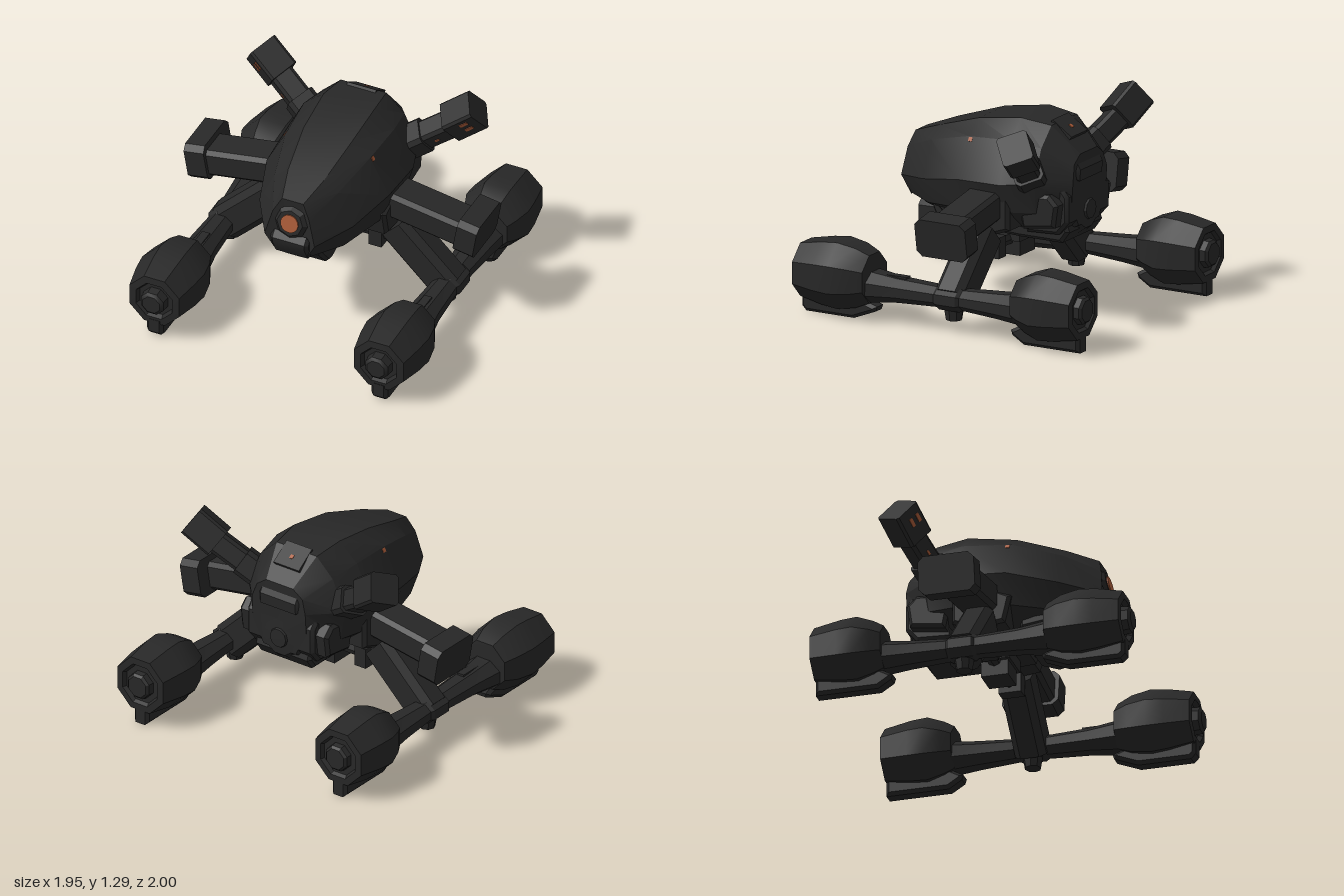
import * as THREE from 'three';
import { toCreasedNormals } from 'three/addons/utils/BufferGeometryUtils.js';

const darkMetal = new THREE.MeshStandardMaterial({ color: 0x282828 });
darkMetal.name = 'dark metal';
const orangeLight = new THREE.MeshStandardMaterial({ color: 0xac5c39 });
orangeLight.name = 'orange light';

const V = (x, y, z) => new THREE.Vector3(x, y, z);

function part(parent, name, geometry, material = darkMetal, crease = 0.5) {
  const mesh = new THREE.Mesh(toCreasedNormals(geometry, crease), material);
  mesh.name = name;
  parent.add(mesh);
  return mesh;
}

// Closed skin through rings of equal length, ordered from back to front
function loft(rings) {
  const n = rings[0].length, index = [];
  for (let i = 0; i < rings.length - 1; i++) {
    for (let j = 0; j < n; j++) {
      const a = i * n + j, b = i * n + (j + 1) % n;
      index.push(a, b, b + n, a, b + n, a + n);
    }
  }
  const last = (rings.length - 1) * n;
  for (let j = 1; j < n - 1; j++) {
    index.push(0, j + 1, j, last, last + j, last + j + 1);
  }
  const g = new THREE.BufferGeometry();
  g.setAttribute('position', new THREE.Float32BufferAttribute(rings.flat(2), 3));
  g.setIndex(index);
  return g;
}

// Bar with chamfered edges between two points; local z runs along the bar
function bar(parent, name, from, to, width, height, chamfer = 0.025, roll = 0) {
  const w = width / 2, h = height / 2, c = chamfer;
  const shape = new THREE.Shape([
    [w, c - h], [w, h - c], [w - c, h], [c - w, h],
    [-w, h - c], [-w, c - h], [c - w, -h], [w - c, -h],
  ].map(([x, y]) => new THREE.Vector2(x, y)));
  const dir = to.clone().sub(from), length = dir.length();
  dir.normalize();
  const g = new THREE.ExtrudeGeometry(shape, { depth: length, bevelEnabled: false });
  const mesh = part(parent, name, g);
  const side = V(0, 1, 0).cross(dir).normalize();
  mesh.quaternion.setFromRotationMatrix(
    new THREE.Matrix4().makeBasis(side, dir.clone().cross(side), dir));
  mesh.rotateZ(roll);
  mesh.position.copy(from);
  return mesh;
}

// Plate with a side profile of [z, y] points and a thickness along x
function slab(parent, name, profile, width, x = 0) {
  const shape = new THREE.Shape(profile.map(([z, y]) => new THREE.Vector2(z, y)));
  const b = 0.02;
  const g = new THREE.ExtrudeGeometry(shape, {
    depth: width - 2 * b, bevelSize: b, bevelThickness: b, bevelOffset: -b, bevelSegments: 1,
  });
  g.translate(0, 0, b - width / 2).rotateY(-Math.PI / 2).translate(x, 0, 0);
  return part(parent, name, g);
}

// Turned part along z from [radius, z] points given back to front
function turned(parent, name, profile, sides, x, y, squash = 1) {
  const points = profile.map(([r, z]) => new THREE.Vector2(r, z));
  const g = new THREE.LatheGeometry(points, sides, Math.PI / sides);
  g.rotateX(Math.PI / 2).scale(1, squash, 1).translate(x, y, 0);
  return part(parent, name, g);
}

function box(parent, name, w, h, d, x, y, z, material = darkMetal) {
  const mesh = part(parent, name, new THREE.BoxGeometry(w, h, d), material);
  mesh.position.set(x, y, z);
  return mesh;
}

function buildBody(model) {
  // Half sections from bottom to top: z, then [x, y, z offset]
  const sections = [
    [-0.57, [0.12, 0.58], [0.2, 0.74], [0.2, 0.88, -0.01], [0.17, 0.97], [0.1, 1.02]],
    [-0.4, [0.15, 0.5], [0.33, 0.68], [0.36, 0.87], [0.27, 1.07], [0.15, 1.185]],
    [-0.2, [0.15, 0.5], [0.37, 0.67], [0.425, 0.85], [0.3, 1.1], [0.17, 1.21]],
    [0.1, [0.15, 0.52], [0.36, 0.65], [0.405, 0.84], [0.28, 1.08], [0.16, 1.165]],
    [0.4, [0.1, 0.56], [0.25, 0.62], [0.31, 0.78], [0.21, 1.0], [0.12, 1.07]],
    [0.6, [0.05, 0.6, -0.01], [0.1, 0.62, 0.01], [0.165, 0.74, 0.035], [0.12, 0.91, 0.015], [0.07, 1.0, -0.01]],
  ];
  const rings = sections.map(([z, ...pts]) => [
    ...pts.map(([x, y, dz = 0]) => [x, y, z + dz]),
    ...pts.map(([x, y, dz = 0]) => [-x, y, z + dz]).reverse(),
  ]);
  part(model, 'bodyShell', loft(rings), darkMetal, 0.42);

  // Eye on the slanted nose
  const tilt = Math.PI / 2 - 0.2;
  const socket = part(model, 'eyeSocket', new THREE.CylinderGeometry(0.085, 0.11, 0.025, 8));
  socket.position.set(0, 0.86, 0.62);
  socket.rotation.x = tilt;
  const eye = part(model, 'eye', new THREE.CylinderGeometry(0.058, 0.058, 0.009, 16), orangeLight);
  eye.position.set(0, 0.863, 0.636);
  eye.rotation.x = tilt;
  slab(model, 'noseLip', [[0.62, 0.78], [0.655, 0.74], [0.65, 0.7], [0.6, 0.61], [0.55, 0.7]], 0.25);

  // Chin, belly and the machinery under the shell
  slab(model, 'chin', [[0.46, 0.58], [0.43, 0.51], [0.34, 0.41], [0.29, 0.4], [0.18, 0.44], [0.08, 0.6]], 0.24);
  slab(model, 'mouthGuard', [[0.6, 0.62], [0.52, 0.56], [0.3, 0.5], [0.2, 0.62]], 0.17);
  slab(model, 'belly', [[0.16, 0.66], [0.12, 0.5], [-0.2, 0.48], [-0.5, 0.48], [-0.55, 0.55], [-0.5, 0.7]], 0.42);
  slab(model, 'rearHousing', [[-0.25, 0.8], [-0.53, 0.83], [-0.57, 0.78], [-0.57, 0.62], [-0.5, 0.54], [-0.28, 0.53]], 0.5);
  turned(model, 'rearDome', [[0, -0.592], [0.06, -0.588], [0.065, -0.575], [0.12, -0.57], [0.16, -0.52], [0.17, -0.42]], 10, 0, 0.66);
  slab(model, 'rearPanel', [[-0.45, 1.0], [-0.56, 0.98], [-0.59, 0.93], [-0.585, 0.86], [-0.5, 0.85]], 0.3);

  // Top hatch with its small lamp
  const hatch = box(model, 'topHatch', 0.19, 0.035, 0.16, 0, 1.145, -0.43);
  hatch.rotation.x = -0.6;
  box(hatch, 'hatchLamp', 0.024, 0.006, 0.026, 0, 0.018, -0.01, orangeLight);

  // Axle carrying the legs
  const axle = part(model, 'axle', new THREE.CylinderGeometry(0.045, 0.045, 0.7, 8));
  axle.rotation.z = Math.PI / 2;
  axle.position.set(0, 0.43, -0.06);
  box(model, 'axleBlock', 0.18, 0.13, 0.17, 0, 0.39, -0.06);
  box(model, 'axleMount', 0.24, 0.12, 0.2, 0, 0.48, -0.06);
}

function buildSide(model, s) {
  const side = new THREE.Group();
  side.name = s > 0 ? 'leftSide' : 'rightSide';
  model.add(side);

  // Hip housings
  slab(side, 'hipHousing', [[0.13, 0.7], [0.09, 0.53], [-0.1, 0.51], [-0.24, 0.56], [-0.24, 0.8], [-0.1, 0.81]], 0.22, s * 0.28);
  slab(side, 'rearPod', [[-0.26, 0.78], [-0.48, 0.8], [-0.54, 0.74], [-0.52, 0.6], [-0.3, 0.57]], 0.14, s * 0.26);
  slab(side, 'cheekGuard', [[0.42, 0.66], [0.3, 0.56], [0.14, 0.54], [0.14, 0.68]], 0.08, s * 0.2);
  box(side, 'axleCap', 0.085, 0.13, 0.14, s * 0.27, 0.42, -0.06);

  // Leg strut and knee
  bar(side, 'legStrut', V(s * 0.385, 0.53, -0.06), V(s * 0.73, 0.19, -0.06), 0.195, 0.23, 0.04);
  const knee = part(side, 'kneePin', new THREE.CylinderGeometry(0.065, 0.05, 0.09, 8));
  knee.position.set(s * 0.72, 0.115, -0.06);

  // Long beam joining both feet
  turned(side, 'footBeam', [[0, -0.62], [0.13, -0.6], [0.105, -0.4], [0.085, -0.15], [0.1, -0.13],
    [0.1, 0.01], [0.085, 0.03], [0.1, 0.3], [0.135, 0.52], [0, 0.54]], 8, s * 0.74, 0.21, 0.8);
  box(side, 'beamDetail', 0.05, 0.03, 0.14, s * 0.735, 0.28, 0.32);

  // Feet with recessed hubs
  const fx = s * 0.743, fy = 0.26;
  turned(side, 'frontFoot', [[0, 0.47], [0.16, 0.48], [0.2, 0.57], [0.222, 0.69], [0.21, 0.8], [0.178, 0.955],
    [0.13, 0.96], [0.115, 0.93], [0.085, 0.93], [0.08, 0.985], [0.06, 1.0], [0, 1.0]], 8, fx, fy);
  turned(side, 'rearFoot', [[0, -1.0], [0.07, -1.0], [0.085, -0.985], [0.09, -0.95], [0.125, -0.95], [0.14, -0.972],
    [0.185, -0.97], [0.215, -0.8], [0.222, -0.7], [0.185, -0.6], [0.15, -0.54], [0, -0.53]], 8, fx, fy);
  slab(side, 'frontSkid', [[0.96, 0.12], [0.96, 0.03], [0.93, 0], [0.6, 0], [0.45, 0.06], [0.44, 0.09], [0.56, 0.13]], 0.11, fx);
  slab(side, 'rearSkid', [[-0.97, 0.12], [-0.97, 0.0], [-0.58, 0], [-0.5, 0.05], [-0.49, 0.08], [-0.58, 0.13]], 0.11, fx);

  // Side arm sloping down to a broad end block
  bar(side, 'sideArm', V(s * 0.32, 0.715, -0.07), V(s * 0.86, 0.625, -0.07), 0.23, 0.18);
  bar(side, 'sideArmBlock', V(s * 0.825, 0.64, -0.105), V(s * 0.955, 0.618, -0.105), 0.35, 0.24, 0.035);

  // Raised arm, rolled so that its front face looks slightly down
  const root = V(s * 0.3, 0.89, -0.345), tip = V(s * 0.6, 1.09, -0.445), roll = s * 0.42;
  bar(side, 'raisedArmSocket', root, root.clone().lerp(tip, 0.4), 0.18, 0.17, 0.025, roll);
  const arm = bar(side, 'raisedArm', root, tip, 0.145, 0.14, 0.02, roll);
  const head = bar(side, 'raisedArmHead', V(s * 0.555, 1.07, -0.435), V(s * 0.72, 1.19, -0.48), 0.19, 0.19, 0.015, roll);

  // Lamps on the front face of the raised arm
  const front = -s;
  for (const y of [-0.012, 0.045]) {
    box(head, 'headLamp', 0.006, 0.024, 0.055, front * 0.096, y, 0.125, orangeLight);
  }
  box(arm, 'armLamp', 0.006, 0.015, 0.03, front * 0.0735, 0.0, 0.22, orangeLight);

  // Small lamp on the shell flank
  const lamp = box(side, 'flankLamp', 0.006, 0.026, 0.026, s * 0.29, 1.065, 0.08, orangeLight);
  lamp.rotation.z = s * 0.5;
}

export function createModel() {
  const model = new THREE.Group();
  model.name = 'walkerRobot';
  buildBody(model);
  for (const s of [1, -1]) buildSide(model, s);
  return model;
}
